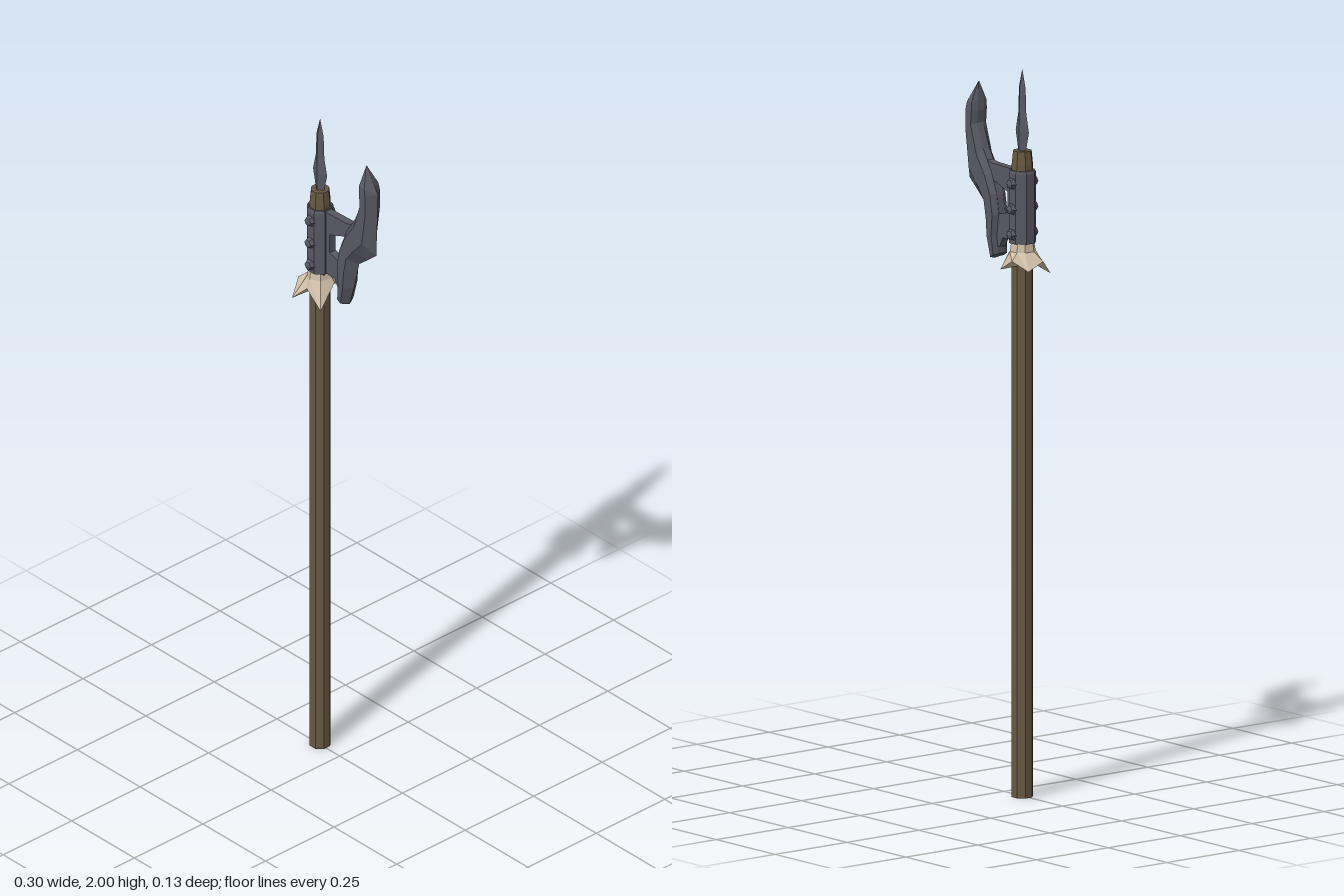
import * as THREE from 'three';

const mat = (name, color, side = THREE.FrontSide) => {
  const m = new THREE.MeshStandardMaterial({ color, side, flatShading: true });
  m.name = name;
  return m;
};

// Skin through rings of equal point count, with optional flat end caps.
// Rings going up must run from +x towards +z, rings going down the other way.
function loft(rings, caps = true) {
  const pos = [];
  const tri = (a, b, c) => pos.push(...a, ...b, ...c);
  const n = rings[0].length;
  for (let i = 0; i < rings.length - 1; i++) {
    for (let j = 0; j < n; j++) {
      const k = (j + 1) % n, A = rings[i], B = rings[i + 1];
      tri(A[j], B[j], B[k]);
      tri(A[j], B[k], A[k]);
    }
  }
  if (caps) {
    const first = rings[0], last = rings[rings.length - 1];
    for (let j = 1; j < n - 1; j++) {
      tri(first[0], first[j], first[j + 1]);
      tri(last[0], last[j + 1], last[j]);
    }
  }
  const g = new THREE.BufferGeometry();
  g.setAttribute('position', new THREE.Float32BufferAttribute(pos, 3));
  g.computeVertexNormals();
  return g;
}

export function createModel() {
  const wood = mat('dark wood', 0x675842);
  const metal = mat('dark steel', 0x575863);
  const hide = mat('pale hide', 0xcfbea7, THREE.DoubleSide);
  const model = new THREE.Group();
  model.name = 'poleaxe';
  const X = -0.082, Z = -0.0035;

  const add = (name, geometry, material, x = 0, y = 0, z = Z) => {
    const m = new THREE.Mesh(geometry, material);
    m.name = name;
    m.position.set(x, y, z);
    model.add(m);
    return m;
  };
  // Octagonal bar with a flat side to the front
  const bar = (name, r, y0, y1, material, rTop = r) =>
    add(name, new THREE.CylinderGeometry(rTop, r, y1 - y0, 8).rotateY(Math.PI / 8), material, X, (y0 + y1) / 2);

  // Shaft and collar
  bar('shaft', 0.03, 0, 1.74, wood);
  bar('shaftCap', 0.03, 1.74, 1.778, wood, 0.026);
  bar('collar', 0.038, 1.525, 1.718, metal);
  bar('collarRim', 0.038, 1.718, 1.725, metal, 0.034);

  // Domed rivets on the front and back of the collar
  const dome = new THREE.SphereGeometry(0.017, 6, 4).rotateX(Math.PI / 2);
  for (const y of [1.55, 1.62, 1.69]) {
    for (const s of [1, -1]) add('rivet', dome, metal, X, y, Z + s * 0.034);
  }

  // Flattened diamond spear point: [y, half width, half depth]
  const spike = [[1.77, 0.014, 0.012], [1.83, 0.028, 0.012], [1.88, 0.017, 0.011], [1.95, 0.014, 0.009], [2, 0.0005, 0.0005]];
  add('spearPoint', loft(spike.map(([y, w, d]) => [[w, y, 0], [0, y, d], [-w, y, 0], [0, y, -d]])), metal, X);

  // Thin bracket with an opening, joining the blade to the collar
  const points = (list) => list.map(([x, y]) => new THREE.Vector2(x, y));
  const plate = new THREE.Shape(points([
    [-0.07, 1.527], [-0.012, 1.527], [0.002, 1.5], [0.03, 1.5], [0.035, 1.6],
    [0.075, 1.66], [0.075, 1.735], [0.035, 1.726], [-0.07, 1.722]]));
  plate.holes.push(new THREE.Path(points([
    [-0.032, 1.6], [-0.032, 1.657], [0.032, 1.682], [0.012, 1.64], [0.004, 1.59]])));
  add('bladeBracket', new THREE.ExtrudeGeometry(plate, { depth: 0.022, bevelEnabled: false }).translate(0, 0, -0.011), metal);

  // Crescent blade, tip to heel: back edge point, cutting edge point, half thickness
  const stations = [
    [0.103, 1.938, 0.107, 1.932, 0.002],
    [0.095, 1.885, 0.14, 1.88, 0.026],
    [0.094, 1.86, 0.148, 1.865, 0.027],
    [0.098, 1.825, 0.147, 1.8, 0.027],
    [0.07, 1.757, 0.142, 1.668, 0.027],
    [0.035, 1.7, 0.108, 1.638, 0.027],
    [0.014, 1.645, 0.074, 1.61, 0.027],
    [0.005, 1.59, 0.065, 1.57, 0.027],
    [0.012, 1.53, 0.053, 1.522, 0.027],
    [0.008, 1.48, 0.036, 1.463, 0.024],
  ];
  add('axeBlade', loft(stations.map(([ax, ay, bx, by, t]) => {
    const at = (f, z) => [ax + (bx - ax) * f, ay + (by - ay) * f, z];
    return [at(0, t * 0.4), at(0.15, t), at(0.6, t), at(1, 0), at(0.6, -t), at(0.15, -t), at(0, -t * 0.4)];
  })), metal);

  // Ragged hide wrap: eight outer corners [x, y, z] around the shaft
  const hem = [
    [-0.022, 1.435, 0.053], [-0.085, 1.475, 0.046], [-0.122, 1.437, 0.066], [-0.142, 1.478, 0.024],
    [-0.151, 1.458, -0.035], [-0.115, 1.485, -0.063], [-0.063, 1.455, -0.061], [-0.042, 1.488, -0.016]];
  const ring = (r, y) => hem.map(([x, , z]) => {
    const a = Math.atan2(z, x - X);
    return [X + Math.cos(a) * r, y, Math.sin(a) * r];
  });
  add('hideWrap', loft([ring(0.032, 1.465), hem, ring(0.036, 1.502), ring(0.032, 1.53)], false), hide);

  return model;
}
